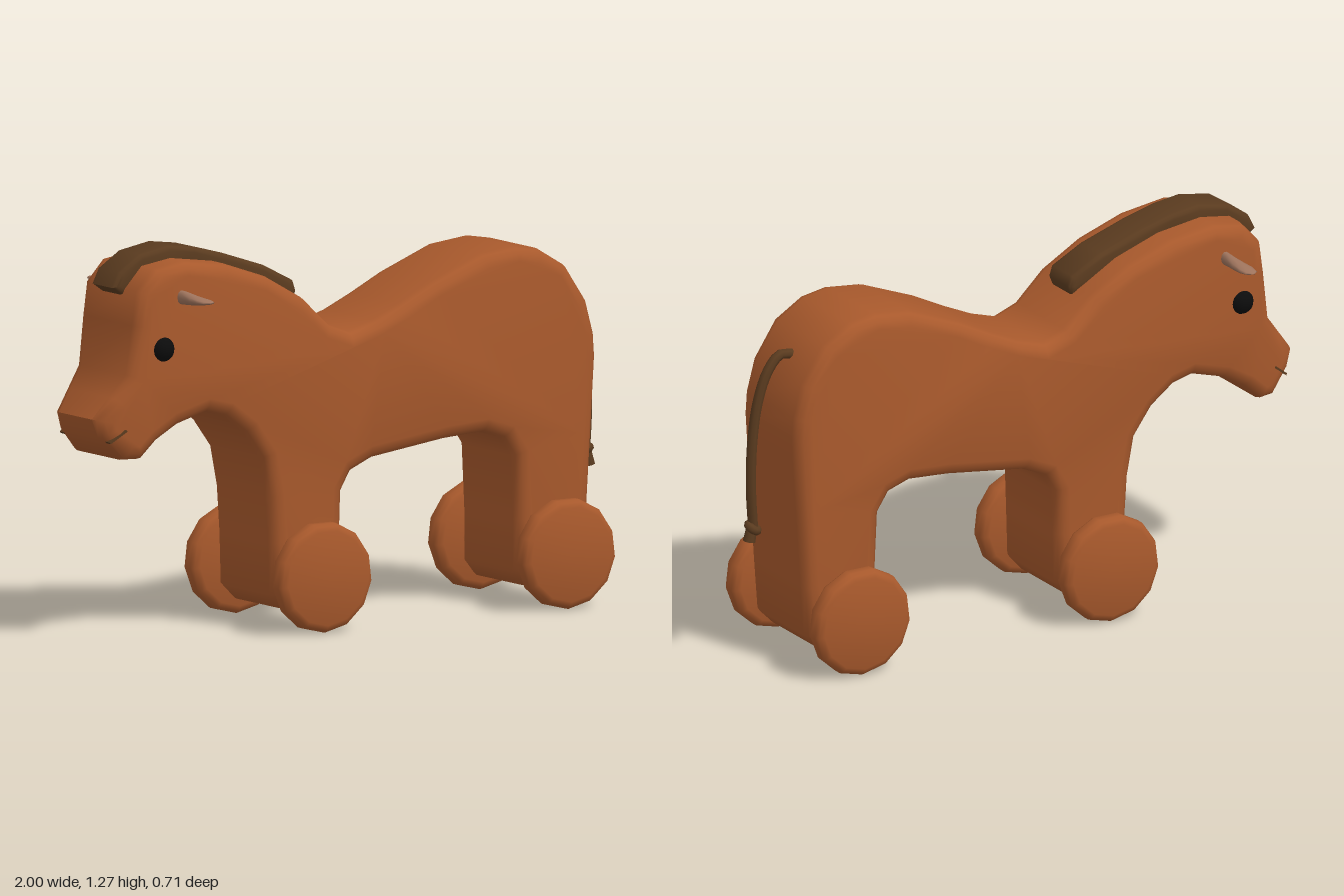
import * as THREE from 'three';
import { toCreasedNormals } from 'three/addons/utils/BufferGeometryUtils.js';

const mat = (name, color) => {
  const m = new THREE.MeshStandardMaterial({ color });
  m.name = name;
  return m;
};

// Side profile given as [x, y] points, extruded across z with rounded edges
function slab(points, width, bevel) {
  const shape = new THREE.Shape(points.map(([x, y]) => new THREE.Vector2(x, y)));
  const g = new THREE.ExtrudeGeometry(shape, {
    depth: width - 2 * bevel, bevelThickness: bevel, bevelSize: bevel,
    bevelOffset: -bevel, bevelSegments: 3,
  });
  return g.translate(0, 0, bevel - width / 2);
}

// Narrows everything ahead of the cheeks towards the nose
function taperMuzzle(g) {
  const p = g.attributes.position;
  for (let i = 0; i < p.count; i++) {
    const t = THREE.MathUtils.clamp((-0.87 - p.getX(i)) / 0.13, 0, 1);
    p.setZ(i, p.getZ(i) * (1 - 0.28 * t));
  }
  return g;
}

// Turned part about the z axis
function turned(profile, sides) {
  const g = new THREE.LatheGeometry(profile.map(([r, h]) => new THREE.Vector2(r, h)), sides);
  return toCreasedNormals(g.rotateX(Math.PI / 2), 0.95);
}

// Leaf-shaped ear from rings along z: [z, halfWidth, halfHeight, y]
function earGeometry() {
  const rings = [[0.14, 0.014, 0.024, 0], [0.2, 0.017, 0.022, 0], [0.26, 0.024, 0.016, -0.001],
    [0.31, 0.028, 0.011, 0], [0.34, 0.022, 0.006, 0.001], [0.357, 0.004, 0.002, 0.002]];
  const n = 10, pos = [], idx = [];
  for (const [z, w, h, y] of rings)
    for (let j = 0; j < n; j++) {
      const a = (j / n) * Math.PI * 2;
      pos.push(w * Math.cos(a), y + h * Math.sin(a), z);
    }
  for (let i = 0; i < rings.length - 1; i++)
    for (let j = 0; j < n; j++) {
      const a = i * n + j, b = i * n + (j + 1) % n;
      idx.push(a, b, b + n, a, b + n, a + n);
    }
  const tip = (rings.length - 1) * n;
  for (let j = 1; j < n - 1; j++) idx.push(tip, tip + j, tip + j + 1);
  const g = new THREE.BufferGeometry();
  g.setAttribute('position', new THREE.Float32BufferAttribute(pos, 3));
  g.setIndex(idx);
  g.computeVertexNormals();
  return g;
}

export function createModel() {
  const model = new THREE.Group();
  model.name = 'toyHorse';
  const wood = mat('chestnutWood', 0xa8592c);
  const hair = mat('darkBrownHair', 0x5a3b1f);
  const earMat = mat('paleEar', 0xa0755e);
  const black = mat('eyeBlack', 0x0c0c0c);
  const add = (name, g, m, x = 0, y = 0, z = 0) => {
    const mesh = new THREE.Mesh(g, m);
    mesh.name = name;
    mesh.position.set(x, y, z);
    model.add(mesh);
    return mesh;
  };

  // Body, head and legs in one board
  const outline = [
    [-1, 0.74], [-0.98, 0.68], [-0.91, 0.605], [-0.85, 0.605], [-0.79, 0.66], [-0.71, 0.705],
    [-0.595, 0.738], [-0.525, 0.72], [-0.445, 0.66], [-0.38, 0.57], [-0.355, 0.44], [-0.345, 0.29],
    [-0.34, 0.12], [-0.29, 0.07], [-0.13, 0.07], [-0.085, 0.12], [-0.08, 0.29], [-0.075, 0.44],
    [-0.04, 0.5], [0.04, 0.535], [0.33, 0.575], [0.475, 0.585], [0.55, 0.56], [0.59, 0.5],
    [0.6, 0.29], [0.6, 0.12], [0.64, 0.07], [0.81, 0.07], [0.86, 0.12], [0.873, 0.29],
    [0.89, 0.55], [0.905, 0.8], [0.9, 0.875], [0.87, 0.985], [0.79, 1.105], [0.69, 1.165],
    [0.6, 1.18], [0.47, 1.165], [0.28, 1.09], [0.16, 1.03], [0.06, 0.985], [-0.04, 0.955],
    [-0.12, 0.985], [-0.22, 1.08], [-0.36, 1.16], [-0.52, 1.215], [-0.68, 1.237], [-0.79, 1.22],
    [-0.855, 1.15], [-0.87, 1.04], [-0.89, 0.88], [-0.945, 0.81],
  ];
  add('body', toCreasedNormals(taperMuzzle(slab(outline, 0.36, 0.045)), 0.95), wood);

  // Mouth slit
  const mouth = new THREE.BoxGeometry(0.065, 0.007, 0.364).rotateZ(0.65).translate(-0.935, 0.685, 0);
  add('mouth', taperMuzzle(mouth), hair);

  // Mane
  const mane = [
    [-0.895, 1.155], [-0.86, 1.13], [-0.78, 1.17], [-0.68, 1.19], [-0.5, 1.16], [-0.34, 1.11],
    [-0.2, 1.06], [-0.188, 1.09], [-0.2, 1.125], [-0.31, 1.182], [-0.47, 1.235], [-0.58, 1.264],
    [-0.68, 1.277], [-0.79, 1.257], [-0.87, 1.205],
  ];
  add('mane', toCreasedNormals(slab(mane, 0.14, 0.018), 0.95), hair);

  // Eyes and ears
  for (const s of [1, -1]) {
    add(s > 0 ? 'leftEye' : 'rightEye', new THREE.SphereGeometry(0.042, 16, 12), black, -0.775, 0.96, s * 0.165);
    const ear = add(s > 0 ? 'leftEar' : 'rightEar', earGeometry(), earMat, -0.708, 1.125, 0);
    if (s < 0) ear.rotation.y = Math.PI;
  }

  // Wheels on flared axles
  const wheel = turned([[0, -0.037], [0.155, -0.037], [0.172, -0.03], [0.18, -0.015],
    [0.18, 0.015], [0.172, 0.03], [0.155, 0.037], [0, 0.037]], 13);
  const axle = turned([[0.085, -0.226], [0.068, -0.215], [0.062, -0.2], [0.062, 0.2],
    [0.068, 0.215], [0.085, 0.226]], 16);
  for (const [label, x] of [['front', -0.217], ['rear', 0.723]]) {
    add(label + 'Axle', axle, wood, x, 0.18, 0);
    for (const s of [1, -1])
      add(label + (s > 0 ? 'LeftWheel' : 'RightWheel'), wheel, wood, x, 0.183, s * 0.258);
  }

  // Rope tail with a knot and a loose end
  const path = new THREE.CatmullRomCurve3([
    [0.82, 1.04, -0.006], [0.87, 1.047, -0.006], [0.915, 1.0, -0.006], [0.952, 0.9, -0.004],
    [0.972, 0.76, -0.002], [0.974, 0.6, 0.002], [0.963, 0.47, 0.008],
  ].map((p) => new THREE.Vector3(...p)));
  add('tail', new THREE.TubeGeometry(path, 28, 0.017, 8), hair);
  const knot = add('tailKnot', new THREE.TorusGeometry(0.017, 0.015, 8, 14), hair, 0.966, 0.468, 0.004);
  knot.rotation.set(1.2, 0.5, 0);
  const end = add('tailEnd', new THREE.CylinderGeometry(0.017, 0.021, 0.05, 8), hair, 0.971, 0.445, 0.01);
  end.rotation.z = 0.2;

  return model;
}
